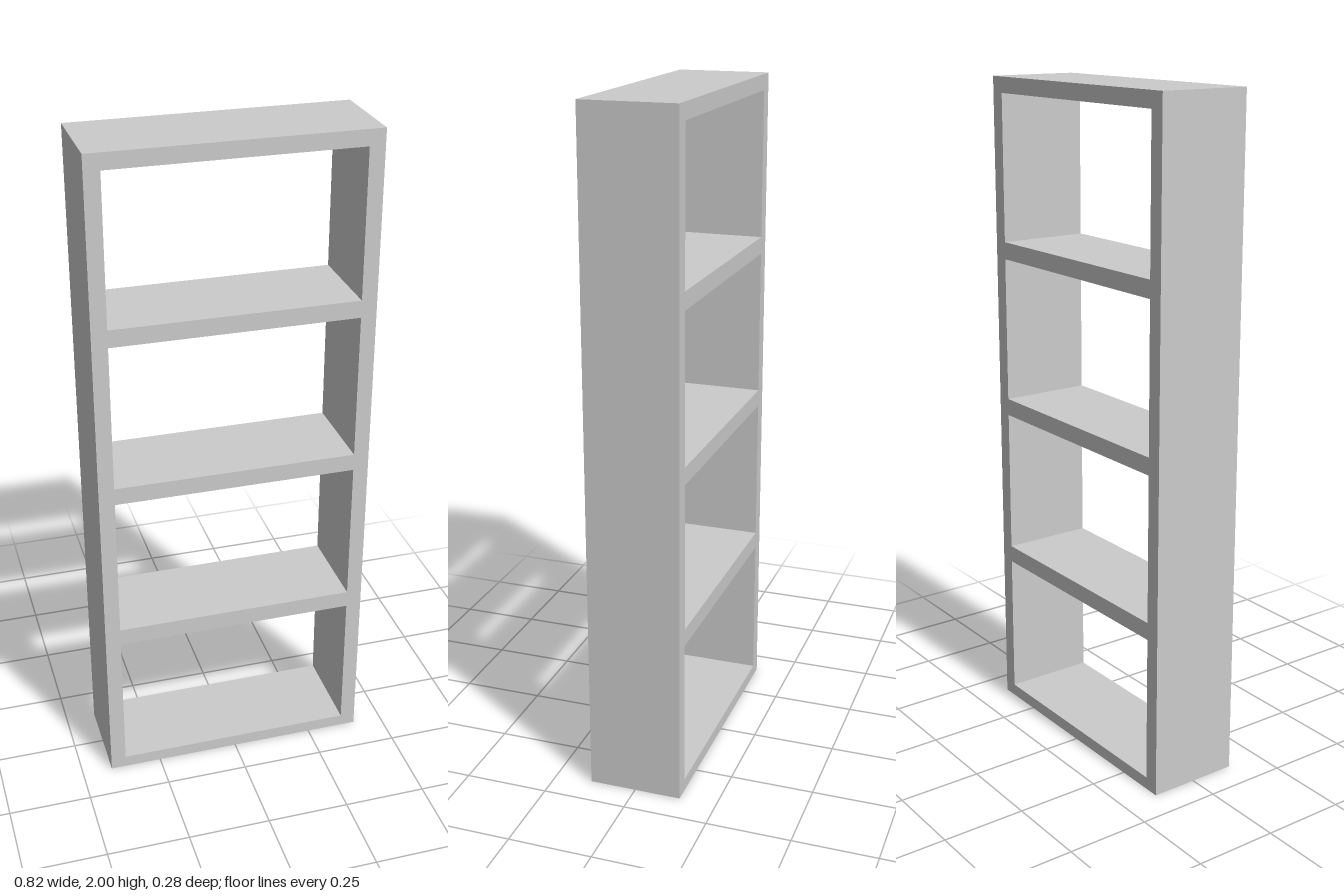
import * as THREE from 'three';

const WIDTH = 0.816, HEIGHT = 2, DEPTH = 0.278;
const INNER_WIDTH = 0.724;                 // between the side panels
const BASE = 0.037, OPENING = 0.44, PITCH = 0.492, BAYS = 4;

// Closed rectangle, centred on x, rising from y
function trace(path, width, y, height) {
  const x = width / 2;
  path.moveTo(-x, y);
  path.lineTo(x, y);
  path.lineTo(x, y + height);
  path.lineTo(-x, y + height);
  path.closePath();
  return path;
}

export function createModel() {
  const group = new THREE.Group();
  group.name = 'openBookcase';

  // Side panels, top, base and shelves as one board outline with open bays
  const outline = trace(new THREE.Shape(), WIDTH, 0, HEIGHT);
  for (let i = 0; i < BAYS; i++) {
    outline.holes.push(trace(new THREE.Path(), INNER_WIDTH, BASE + i * PITCH, OPENING));
  }
  const geometry = new THREE.ExtrudeGeometry(outline, { depth: DEPTH, bevelEnabled: false });
  geometry.translate(0, 0, -DEPTH / 2);

  const frame = new THREE.Mesh(geometry, new THREE.MeshStandardMaterial({ color: 0xcccccc }));
  frame.name = 'shelfFrame';
  group.add(frame);
  return group;
}
